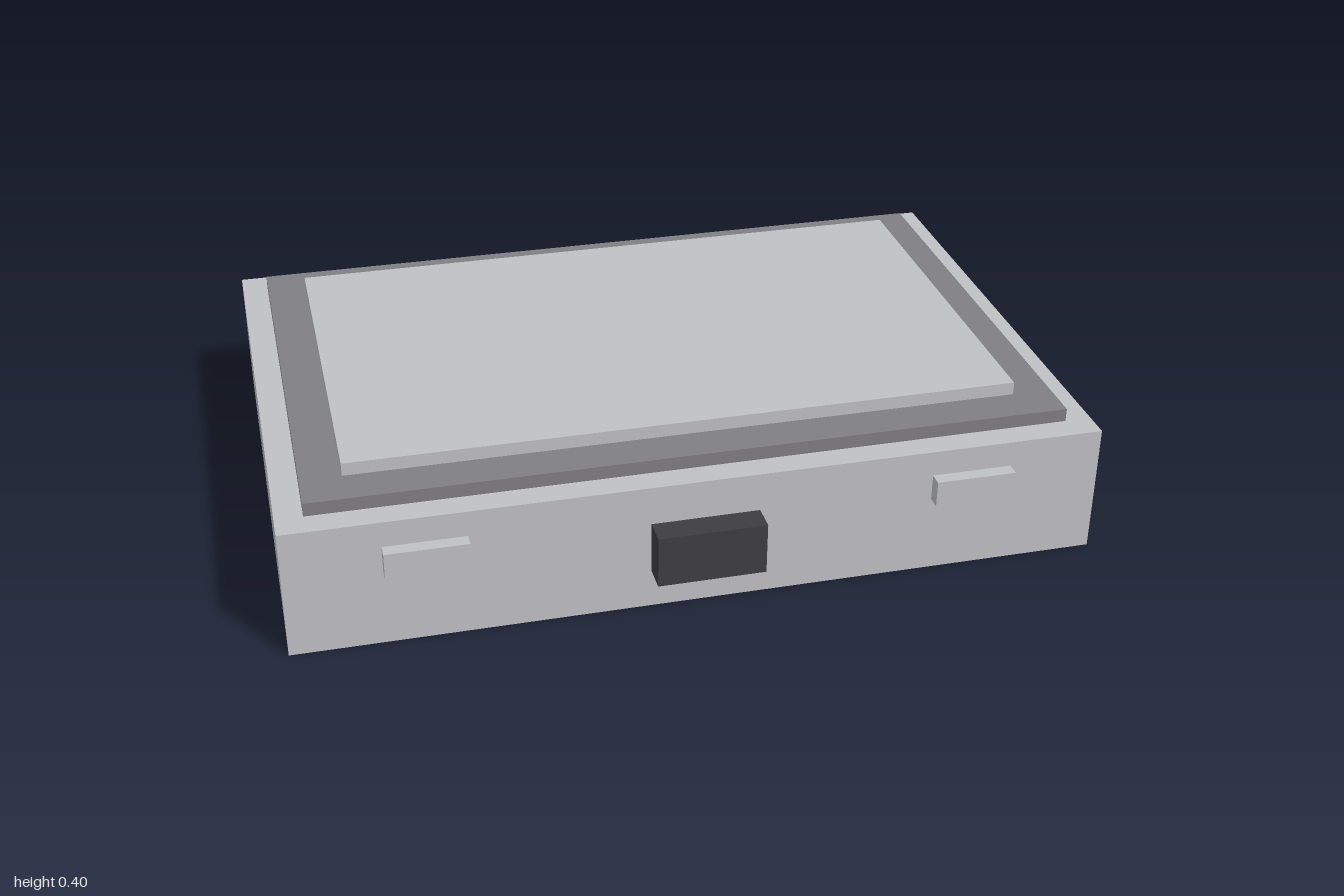
import * as THREE from 'three';

const material = (name, color) => {
  const m = new THREE.MeshStandardMaterial({ color });
  m.name = name;
  return m;
};

export function createModel() {
  const silver = material('silver', 0xc0c1c5);
  const grey = material('grey', 0x807e83);
  const charcoal = material('charcoal', 0x3e3e42);

  const model = new THREE.Group();
  model.name = 'case';

  // Box given by its limits along x, y and z
  const addBox = (name, mat, [x0, x1], [y0, y1], [z0, z1]) => {
    const mesh = new THREE.Mesh(new THREE.BoxGeometry(x1 - x0, y1 - y0, z1 - z0), mat);
    mesh.position.set((x0 + x1) / 2, (y0 + y1) / 2, (z0 + z1) / 2);
    mesh.name = name;
    model.add(mesh);
  };

  const back = -0.675, front = 0.658;

  // Main body with two stepped panels on top
  addBox('body', silver, [-1, 1], [0, 0.333], [back, front]);
  addBox('lidRim', grey, [-0.933, 0.933], [0.333, 0.367], [-0.608, 0.592]);
  addBox('lidPanel', silver, [-0.833, 0.833], [0.367, 0.4], [-0.508, 0.492]);

  // Front latch and rear hinge bar
  addBox('latch', charcoal, [-0.133, 0.133], [0.1, 0.233], [front, 0.725]);
  addBox('hingeBar', silver, [-0.5, 0.5], [0.1, 0.233], [-0.725, back]);

  // Small clasps either side of the latch
  addBox('leftClasp', silver, [0.567, 0.767], [0.2, 0.267], [front, 0.692]);
  addBox('rightClasp', silver, [-0.767, -0.567], [0.2, 0.267], [front, 0.692]);

  return model;
}
